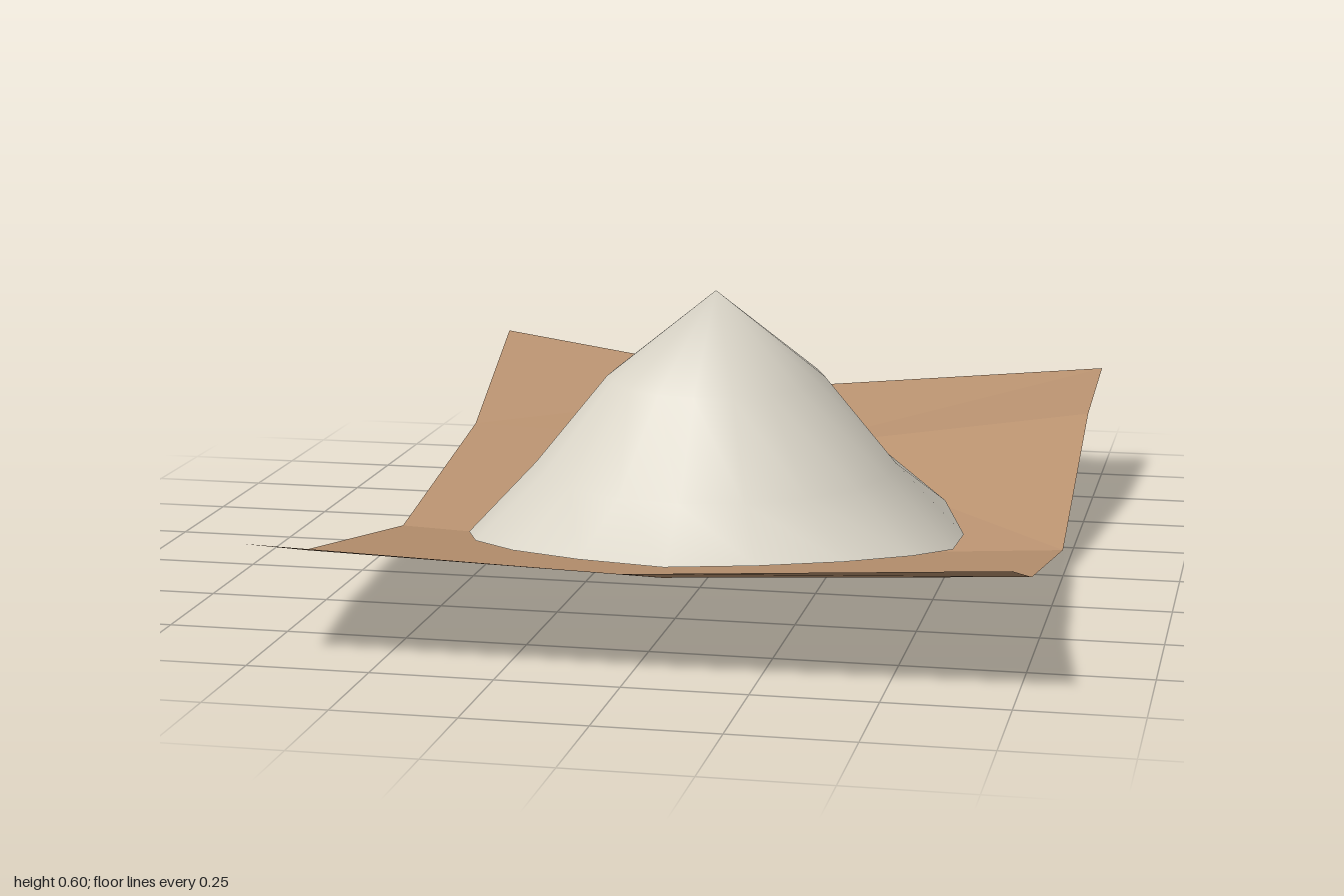
import * as THREE from 'three';
import { mergeVertices } from 'three/addons/utils/BufferGeometryUtils.js';

export function createModel() {
  const group = new THREE.Group();
  const earth = new THREE.MeshStandardMaterial({ color: 0xb8916f, side: THREE.DoubleSide, flatShading: true });
  earth.name = 'earth';
  const stone = new THREE.MeshStandardMaterial({ color: 0xd9d4c7, side: THREE.DoubleSide });
  stone.name = 'paleStone';

  // Ground patch: rows from back to front, each [z, left/middle/right x, left/middle/right height]
  const rows = [
    [-1, [-0.75, 0.01, 0.745], [0.305, 0.193, 0.265]],
    [-0.62, [-0.735, 0.035, 0.745], [0.145, 0.12, 0.23]],
    [-0.04, [-0.745, 0, 0.745], [0.03, 0, 0.047]],
    [0.63, [-0.75, 0, 0.745], [0.14, 0.12, 0.16]],
    [1, [-0.75, 0, 0.745], [0.245, 0.223, 0.267]],
  ];
  const positions = [];
  const index = [];
  for (const [z, xs, ys] of rows) xs.forEach((x, i) => positions.push(x, ys[i], z));
  for (let j = 0; j < rows.length - 1; j++) {
    for (let i = 0; i < 2; i++) {
      const a = j * 3 + i, b = a + 3, c = b + 1, d = a + 1;
      // One cell is creased along the other diagonal
      if (j === 1 && i === 1) index.push(a, b, c, a, c, d);
      else index.push(a, b, d, b, c, d);
    }
  }
  const groundGeometry = new THREE.BufferGeometry();
  groundGeometry.setAttribute('position', new THREE.Float32BufferAttribute(positions, 3));
  groundGeometry.setIndex(index);
  groundGeometry.computeVertexNormals();
  const ground = new THREE.Mesh(groundGeometry, earth);
  ground.name = 'ground';
  group.add(ground);

  // Height of the ground under a point
  const ray = new THREE.Raycaster();
  const groundHeight = (x, z) => {
    ray.set(new THREE.Vector3(x, 2, z), new THREE.Vector3(0, -1, 0));
    const hit = ray.intersectObject(ground)[0];
    return hit ? hit.point.y : 0.1;
  };

  // Mound: smooth 18-sided heap whose rim drapes over the ground
  const centreX = -0.015, rim = 0.545;
  const profile = [[rim, 0.1], [0.395, 0.217], [0.238, 0.41], [0, 0.6]];
  let heap = new THREE.LatheGeometry(profile.map(([r, y]) => new THREE.Vector2(r, y)), 18);
  heap.translate(centreX, 0, 0);
  heap.deleteAttribute('uv');
  heap.deleteAttribute('normal');
  heap = mergeVertices(heap, 1e-4);
  const p = heap.attributes.position;
  for (let i = 0; i < p.count; i++) {
    const x = p.getX(i), z = p.getZ(i);
    if (Math.hypot(x - centreX, z) > rim - 0.01) p.setY(i, groundHeight(x, z) + 0.014);
  }
  heap.computeVertexNormals();
  const mound = new THREE.Mesh(heap, stone);
  mound.name = 'mound';
  group.add(mound);

  return group;
}
